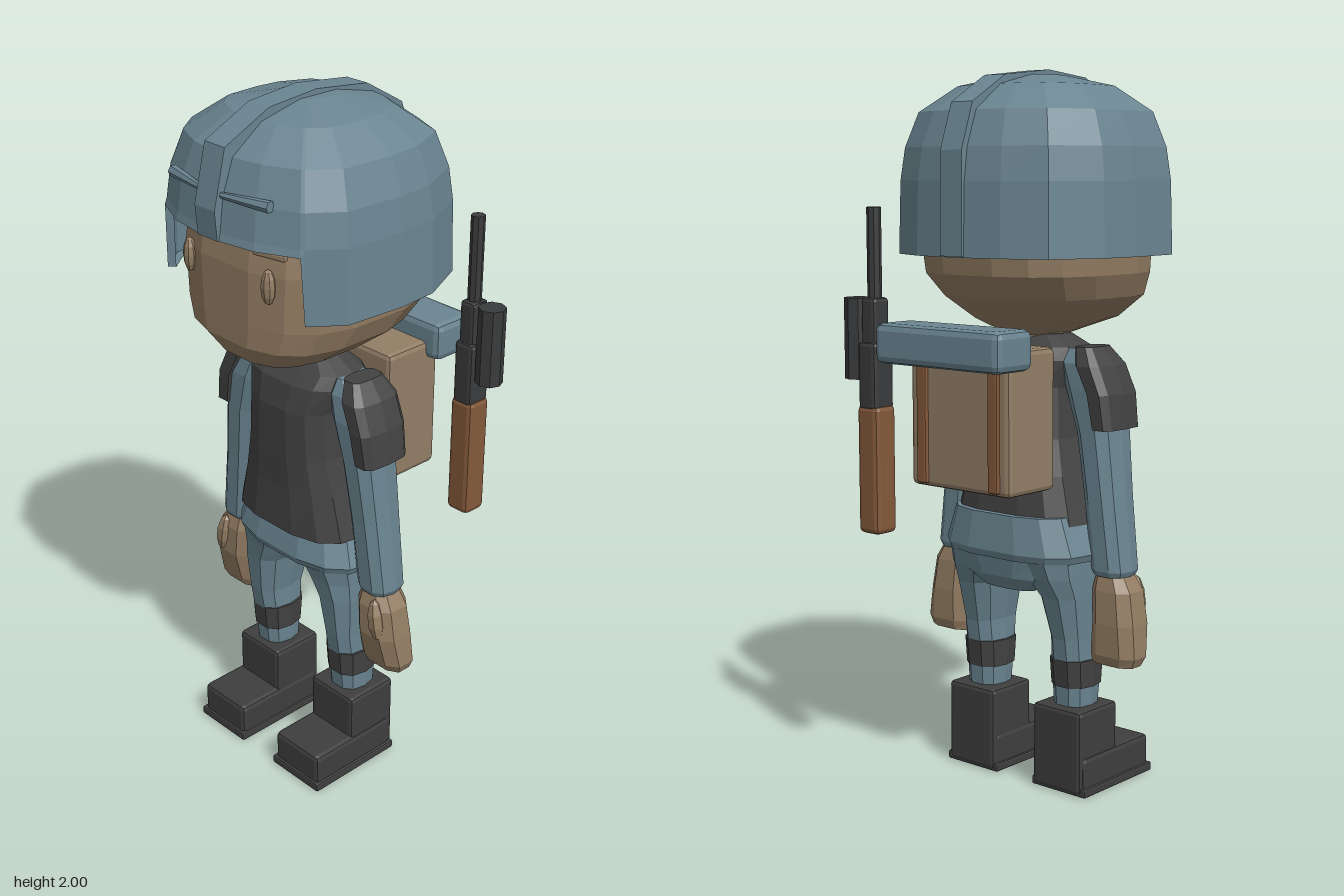
import * as THREE from 'three';
import { RoundedBoxGeometry } from 'three/addons/geometries/RoundedBoxGeometry.js';

const paint = (name, color, side = THREE.FrontSide) => {
  const m = new THREE.MeshStandardMaterial({ color, side });
  m.name = name;
  return m;
};

// Faceted copy of a geometry
function facet(geo) {
  const g = geo.index ? geo.toNonIndexed() : geo;
  g.computeVertexNormals();
  return g;
}

// Skin over rings of [x, y, z] points, listed bottom to top, each running from +z towards +x
function skin(rings, capBottom = true, capTop = true) {
  const n = rings[0].length, pos = [];
  const tri = (a, b, c) => pos.push(...a, ...b, ...c);
  const middle = r => [0, 1, 2].map(k => r.reduce((s, p) => s + p[k], 0) / n);
  for (let i = 0; i < rings.length - 1; i++) {
    for (let j = 0; j < n; j++) {
      const k = (j + 1) % n, lo = rings[i], hi = rings[i + 1];
      tri(lo[j], lo[k], hi[k]);
      tri(lo[j], hi[k], hi[j]);
    }
  }
  const first = rings[0], last = rings[rings.length - 1];
  const c0 = middle(first), c1 = middle(last);
  for (let j = 0; j < n; j++) {
    const k = (j + 1) % n;
    if (capBottom) tri(c0, first[k], first[j]);
    if (capTop) tri(c1, last[j], last[k]);
  }
  const g = new THREE.BufferGeometry();
  g.setAttribute('position', new THREE.Float32BufferAttribute(pos, 3));
  g.computeVertexNormals();
  return g;
}

// Rounded cross-sections [y, centre x, centre z, half width, half depth]
function loft(sections, sides = 12, power = 0.8, mirror = 1) {
  const bend = v => Math.sign(v) * Math.abs(v) ** power;
  return skin(sections.map(([y, cx, cz, rx, rz]) => Array.from({ length: sides }, (_, j) => {
    const a = (j + 0.5) / sides * Math.PI * 2;
    return [mirror * cx + rx * bend(Math.sin(a)), y, cz + rz * bend(Math.cos(a))];
  })));
}

export function createModel() {
  const model = new THREE.Group();
  model.name = 'soldier';
  const blue = paint('slate blue cloth', 0x6a8591, THREE.DoubleSide);
  const skinTone = paint('tan skin', 0x937d63);
  const dark = paint('charcoal vest', 0x424242);
  const boots = paint('black leather', 0x3e3e3e);
  const canvas = paint('khaki canvas', 0x927e66);
  const wood = paint('brown wood', 0x83593a);
  const metal = paint('gun metal', 0x3a3b3c);

  const add = (name, geo, mat, x = 0, y = 0, z = 0, parent = model) => {
    const mesh = new THREE.Mesh(facet(geo), mat);
    mesh.name = name;
    mesh.position.set(x, y, z);
    parent.add(mesh);
    return mesh;
  };
  const box = (w, h, d, r = 0.012) => new RoundedBoxGeometry(w, h, d, 1, r);

  // Head and neck
  add('head', loft([
    [1.28, 0, 0.04, 0.08, 0.09], [1.322, 0, 0.08, 0.17, 0.205], [1.385, 0, 0.065, 0.253, 0.262],
    [1.45, 0, 0.037, 0.284, 0.291], [1.6, 0, 0.027, 0.296, 0.302], [1.74, 0, 0.025, 0.285, 0.285],
    [1.85, 0, 0.025, 0.2, 0.2]], 16, 0.72), skinTone);
  add('neck', loft([[1.22, 0, 0.03, 0.1, 0.075], [1.34, 0, 0.03, 0.09, 0.07]], 10), skinTone);
  for (const s of [-1, 1]) {
    const eye = add('eye', new THREE.SphereGeometry(1, 8, 6), skinTone, s * 0.153, 1.575, 0.312);
    eye.scale.set(0.021, 0.048, 0.018);
    eye.rotation.y = s * 0.2;
    const brow = add('eyebrow', box(0.1, 0.02, 0.02, 0.006), skinTone, s * 0.16, 1.664, 0.31);
    brow.rotation.y = s * 0.2;
  }

  // Helmet shell: one plan outline, scaled at each height, cut away over the face
  const plan = [[0.04, 0.372], [0.15, 0.355], [0.262, 0.303], [0.27, 0.296], [0.336, 0.21], [0.348, 0.03],
    [0.338, -0.09], [0.27, -0.237], [0.15, -0.29], [0.04, -0.308]];
  const outline = [...plan, ...plan.map(([x, z]) => [-x, z]).reverse()];
  const levels = [[1.5, 0.94], [1.5, 1], [1.7, 0.985], [1.79, 0.95], [1.885, 0.85], [1.955, 0.57], [1.985, 0.2]];
  add('helmet', skin(levels.map(([y, s]) => outline.map(([x, z]) => [
    x * s, y < 1.6 && z > 0.3 ? 1.68 : y, 0.033 + (z - 0.033) * s])), false), blue);

  // Helmet ridge: a strip following the side profile
  const crest = [[0.376, 1.68], [0.383, 1.76], [0.345, 1.915], [0.2, 1.985], [0.04, 2.0], [-0.14, 1.98],
    [-0.27, 1.905], [-0.313, 1.78], [-0.316, 1.503]];
  const inner = crest.map(([z, y]) => [0.035 + (z - 0.035) * 0.88, y < 1.7 ? y : 1.6 + (y - 1.6) * 0.88]).reverse();
  const ridge = new THREE.ExtrudeGeometry(
    new THREE.Shape([...crest, ...inner].map(p => new THREE.Vector2(...p))), { depth: 0.076, bevelEnabled: false });
  add('helmetRidge', ridge.rotateY(-Math.PI / 2).translate(0.038, 0, 0), blue);
  for (const s of [-1, 1]) {
    const bar = add('helmetBar', new THREE.CylinderGeometry(0.008, 0.016, 0.15, 6), blue, s * 0.112, 1.798, 0.345);
    bar.rotation.set(0, s * 0.2, s * Math.PI / 2);
  }

  // Torso
  add('vest', loft([
    [0.765, 0, 0.018, 0.222, 0.158], [0.9, 0, 0.022, 0.185, 0.15], [1.0, 0, 0.03, 0.16, 0.143],
    [1.14, 0, 0.036, 0.15, 0.136], [1.215, 0, 0.034, 0.172, 0.12], [1.25, 0, 0.03, 0.172, 0.09],
    [1.283, 0, 0.03, 0.11, 0.06]], 14, 0.7), dark);
  add('jacketHem', loft([
    [0.665, 0, 0, 0.24, 0.158], [0.685, 0, 0, 0.248, 0.166], [0.79, 0, -0.008, 0.208, 0.15]], 14, 0.7), blue);
  add('trouserSeat', loft([
    [0.57, 0, -0.075, 0.09, 0.035], [0.61, 0, -0.065, 0.16, 0.075], [0.69, 0, -0.03, 0.22, 0.125]], 12), blue);

  // Limbs, mirrored
  for (const s of [-1, 1]) {
    const side = s > 0 ? 'left' : 'right';
    const limb = (name, sections, mat, sides = 10, power = 0.8) =>
      add(side + name, loft(sections, sides, power, s), mat);
    limb('Sleeve', [
      [0.63, 0.287, 0.028, 0.053, 0.053], [0.645, 0.287, 0.028, 0.06, 0.06], [0.85, 0.262, 0.03, 0.06, 0.066],
      [1.02, 0.24, 0.034, 0.064, 0.073], [1.14, 0.213, 0.034, 0.076, 0.078], [1.21, 0.185, 0.03, 0.068, 0.072],
      [1.25, 0.16, 0.03, 0.045, 0.05]], blue);
    limb('ShoulderPad', [
      [1.035, 0.281, 0.033, 0.038, 0.08], [1.13, 0.266, 0.034, 0.042, 0.084],
      [1.205, 0.232, 0.03, 0.046, 0.082], [1.255, 0.205, 0.028, 0.032, 0.055]], dark, 10, 0.6);
    limb('Hand', [
      [0.383, 0.305, 0.015, 0.072, 0.04], [0.41, 0.309, 0.018, 0.08, 0.052], [0.5, 0.306, 0.028, 0.074, 0.064],
      [0.59, 0.297, 0.03, 0.068, 0.06], [0.64, 0.287, 0.028, 0.046, 0.046]], skinTone, 8, 0.7);
    const thumb = add(side + 'Thumb', new THREE.SphereGeometry(1, 6, 5), skinTone, s * 0.325, 0.56, 0.082);
    thumb.scale.set(0.024, 0.065, 0.025);
    thumb.rotation.z = s * 0.15;
    limb('Leg', [
      [0.22, 0.162, 0.014, 0.055, 0.058], [0.33, 0.162, 0.016, 0.06, 0.068], [0.44, 0.163, 0.018, 0.058, 0.085],
      [0.56, 0.157, 0.01, 0.074, 0.108], [0.62, 0.138, 0, 0.095, 0.128], [0.69, 0.118, 0, 0.118, 0.148]], blue);
    limb('LegBand', [[0.3, 0.162, 0.016, 0.063, 0.069], [0.378, 0.162, 0.016, 0.066, 0.076]], dark);

    // Boot: shaft, toe and sole
    add(side + 'BootShaft', box(0.172, 0.24, 0.168), boots, s * 0.161, 0.125, 0.012);
    add(side + 'BootToe', box(0.18, 0.105, 0.3, 0.014), boots, s * 0.162, 0.06, 0.088);
    add(side + 'BootSole', box(0.194, 0.026, 0.312, 0.006), boots, s * 0.163, 0.013, 0.09);
  }

  // Backpack with straps and bedroll
  const pack = new THREE.Group();
  pack.name = 'backpack';
  model.add(pack);
  add('packBody', box(0.36, 0.39, 0.19, 0.015), canvas, 0, 1.065, -0.195, pack);
  for (const s of [-1, 1]) add('packStrap', box(0.035, 0.36, 0.03, 0.006), wood, s * 0.13, 1.06, -0.287, pack);
  add('bedroll', box(0.45, 0.11, 0.142, 0.02), blue, 0, 1.265, -0.313, pack);

  // Slung rifle standing upright beside the pack
  const rifle = new THREE.Group();
  rifle.name = 'rifle';
  rifle.position.set(0.263, 0, -0.34);
  model.add(rifle);
  add('stock', box(0.078, 0.36, 0.078, 0.015), wood, 0, 0.91, 0, rifle);
  add('receiver', box(0.066, 0.19, 0.076, 0.012), metal, 0, 1.17, 0, rifle);
  add('foreEnd', box(0.052, 0.16, 0.06, 0.01), metal, 0, 1.305, 0, rifle);
  add('barrel', new THREE.CylinderGeometry(0.02, 0.02, 0.27, 8), metal, 0, 1.495, 0, rifle);
  add('scope', new THREE.CylinderGeometry(0.039, 0.039, 0.225, 8), metal, 0.066, 1.27, 0, rifle);
  return model;
}
